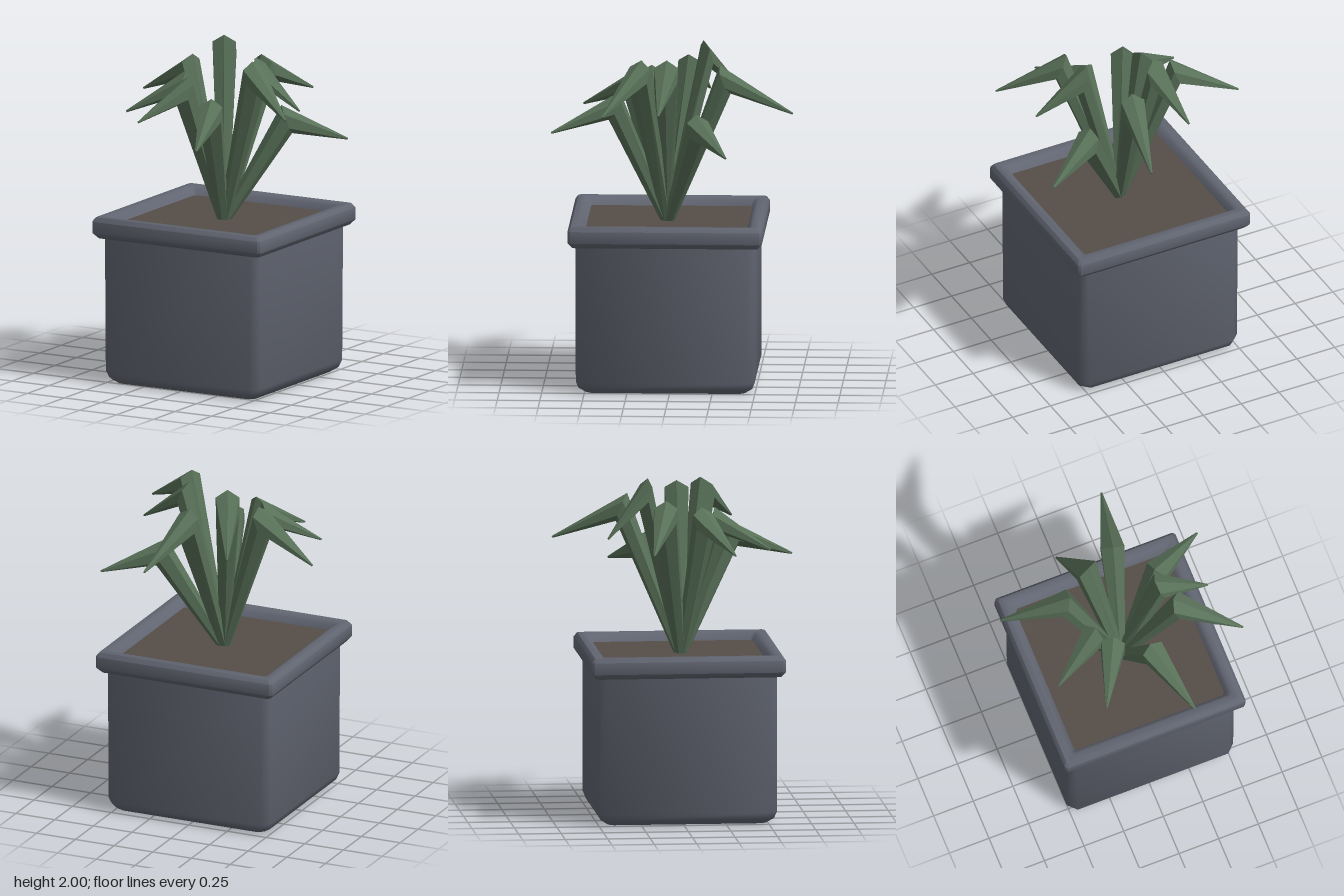
import * as THREE from 'three';
import { toCreasedNormals } from 'three/addons/utils/BufferGeometryUtils.js';

const POT = new THREE.MeshStandardMaterial({ color: 0x626672 });
const SOIL = new THREE.MeshStandardMaterial({ color: 0x564e48 });
const LEAF = new THREE.MeshStandardMaterial({ color: 0x587058, flatShading: true });
const CENTRE = new THREE.Vector3(0.015, 0, 0.025);
const UP = new THREE.Vector3(0, 1, 0);

// Skin a list of closed rings, each an array of Vector3 of equal length
function skin(rings) {
  const n = rings[0].length, pos = [], idx = [];
  rings.forEach((r) => r.forEach((p) => pos.push(p.x, p.y, p.z)));
  for (let i = 0; i < rings.length - 1; i++) {
    for (let j = 0; j < n; j++) {
      const k = (j + 1) % n;
      const a = i * n + j, b = i * n + k, c = a + n, d = b + n;
      idx.push(a, b, d, a, d, c);
    }
  }
  const g = new THREE.BufferGeometry();
  g.setAttribute('position', new THREE.Float32BufferAttribute(pos, 3));
  g.setIndex(idx);
  g.computeVertexNormals();
  return g;
}

// Square ring with cut corners: half width h, corner cut c, height y
function squareRing([h, y, c]) {
  const e = h - c;
  return [[-e, h], [e, h], [h, e], [h, -e], [e, -h], [-e, -h], [-h, -e], [-h, e]]
    .map(([x, z]) => new THREE.Vector3(x, y, z).add(CENTRE));
}

// Six-sided ring across direction t, with one corner pointing up
function leafRing(centre, t, rUp, rSide) {
  const u = UP.clone().addScaledVector(t, -UP.dot(t)).normalize();
  const v = t.clone().cross(u);
  return Array.from({ length: 6 }, (_, i) => {
    const a = (i * Math.PI) / 3;
    return centre.clone()
      .addScaledVector(u, Math.cos(a) * rUp)
      .addScaledVector(v, Math.sin(a) * rSide);
  });
}

// Leaf: thin at the soil, thick at the bend, pointed at the drooping tip
function leafGeometry(peak, tipAt) {
  const base = new THREE.Vector3(0.015, 0.93, 0.03);
  const bend = new THREE.Vector3(...peak);
  bend.y -= 0.085;
  const tip = new THREE.Vector3(...tipAt);
  const stem = bend.clone().sub(base).normalize();
  const blade = tip.clone().sub(bend).normalize();
  const middle = stem.clone().add(blade).normalize();
  return skin([
    leafRing(base, stem, 0.03, 0.03),
    leafRing(bend, middle, 0.09, 0.08),
    leafRing(tip, blade, 0.006, 0.006),
    leafRing(tip, blade, 0, 0),
  ]);
}

export function createModel() {
  const group = new THREE.Group();
  const add = (name, geometry, material) => {
    const mesh = new THREE.Mesh(geometry, material);
    mesh.name = name;
    group.add(mesh);
  };
  const square = (rows) => toCreasedNormals(skin(rows.map(squareRing)), 0.9);

  // Square pot body with softened corners
  add('potBody', square([
    [0, 0, 0], [0.465, 0, 0.03], [0.51, 0.03, 0.05], [0.525, 0.07, 0.05], [0.525, 0.9, 0.04],
  ]), POT);

  // Overhanging rim, sloping inwards to the soil
  add('potRim', square([
    [0.515, 0.87, 0.02], [0.545, 0.875, 0.015], [0.57, 0.905, 0.015], [0.57, 0.975, 0.015],
    [0.552, 1.0, 0.015], [0.51, 1.0, 0.015], [0.49, 0.985, 0.015], [0.465, 0.93, 0.015],
  ]), POT);

  add('soil', square([[0.475, 0.95, 0.01], [0, 0.95, 0]]), SOIL);

  // Top of the bend, then tip, for each leaf
  const leaves = [
    [[0.1, 1.89, -0.31], [0.19, 1.62, -0.71]],
    [[0.33, 1.63, -0.165], [0.645, 1.43, -0.335]],
    [[0.265, 1.94, 0.03], [0.55, 1.66, 0.065]],
    [[0.32, 1.95, 0.19], [0.645, 1.67, 0.39]],
    [[0.105, 1.73, 0.34], [0.22, 1.5, 0.705]],
    [[-0.12, 1.83, 0.25], [-0.27, 1.59, 0.535]],
    [[-0.21, 1.84, 0.15], [-0.485, 1.59, 0.305]],
    [[-0.29, 1.89, -0.09], [-0.655, 1.62, -0.19]],
    [[-0.11, 2.0, -0.195], [-0.21, 1.66, -0.42]],
  ];
  leaves.forEach(([peak, tip], i) => add(`leaf${i + 1}`, leafGeometry(peak, tip), LEAF));

  return group;
}
